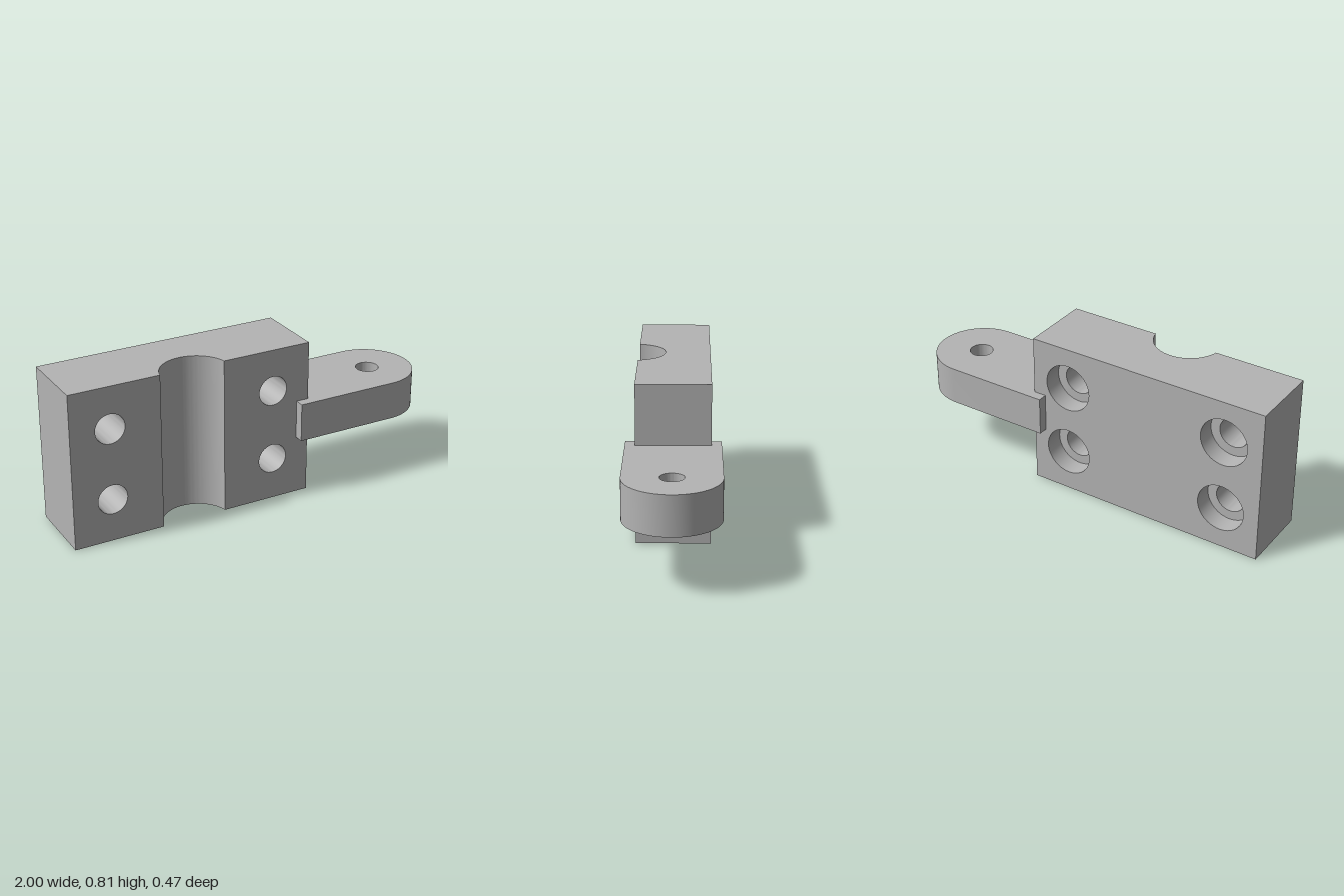
import * as THREE from 'three';
import { toCreasedNormals } from 'three/addons/utils/BufferGeometryUtils.js';

const LEFT = -1, RIGHT = 0.285, HEIGHT = 0.813, HALF = 0.187;
const GROOVE = { x: -0.36, z: 0.218, r: 0.173 };
const BORE = 0.077, COUNTERBORE = 0.125, SHELF_Z = -0.087;
const HOLE_X = [-0.795, 0.083], HOLE_Y = [0.222, 0.595];
const CREASE = Math.PI / 6, SEGMENTS = 48;

const grooveAngle = Math.asin((GROOVE.z - HALF) / GROOVE.r);
const grooveHalf = GROOVE.r * Math.cos(grooveAngle);

// Rectangular face from x0 to x1 with round holes
function drilledFace(x0, x1, holeXs, radius) {
  const s = new THREE.Shape();
  s.moveTo(x0, 0).lineTo(x1, 0).lineTo(x1, HEIGHT).lineTo(x0, HEIGHT).closePath();
  for (const x of holeXs) for (const y of HOLE_Y) {
    s.holes.push(new THREE.Path().absarc(x, y, radius, 0, Math.PI * 2, true));
  }
  return new THREE.ShapeGeometry(s, SEGMENTS / 2);
}

// Upright extrusion of a plan drawn in x and -z
function upright(shape, height, curveSegments) {
  const g = new THREE.ExtrudeGeometry(shape, { depth: height, bevelEnabled: false, curveSegments });
  return g.rotateX(-Math.PI / 2);
}

// Block ends, caps and groove, leaving the front and back open for the drilled faces
function blockShell() {
  const s = new THREE.Shape();
  s.moveTo(LEFT, -HALF);
  s.lineTo(GROOVE.x - grooveHalf, -HALF);
  s.absarc(GROOVE.x, -GROOVE.z, GROOVE.r, Math.PI - grooveAngle, grooveAngle, true);
  s.lineTo(RIGHT, -HALF);
  s.lineTo(RIGHT, HALF);
  s.lineTo(LEFT, HALF);
  s.closePath();
  const p = upright(s, HEIGHT, 32).getAttribute('position');
  const kept = [];
  for (let i = 0; i < p.count; i += 3) {
    const zs = [p.getZ(i), p.getZ(i + 1), p.getZ(i + 2)];
    const open = [HALF, -HALF].some((h) => zs.every((z) => Math.abs(z - h) < 1e-4));
    if (!open) for (let k = i; k < i + 3; k++) kept.push(p.getX(k), p.getY(k), p.getZ(k));
  }
  const g = new THREE.BufferGeometry();
  g.setAttribute('position', new THREE.Float32BufferAttribute(kept, 3));
  return toCreasedNormals(g, CREASE);
}

// Stepped screw hole lining, facing inwards
function boreLining() {
  const profile = [
    [BORE, HALF], [BORE, SHELF_Z], [COUNTERBORE, SHELF_Z], [COUNTERBORE, -HALF],
  ].map(([r, y]) => new THREE.Vector2(r, y));
  return toCreasedNormals(new THREE.LatheGeometry(profile, SEGMENTS).rotateX(Math.PI / 2), CREASE);
}

// Round-ended lug with a vertical pin hole
function lugGeometry() {
  const r = 0.237, cx = 1 - r;
  const s = new THREE.Shape();
  s.moveTo(0.22, -r);
  s.lineTo(cx, -r);
  s.absarc(cx, 0, r, -Math.PI / 2, Math.PI / 2, false);
  s.lineTo(0.22, r);
  s.closePath();
  s.holes.push(new THREE.Path().absarc(cx, 0, 0.06, 0, Math.PI * 2, true));
  return toCreasedNormals(upright(s, 0.2, 32), CREASE);
}

export function createModel() {
  const metal = new THREE.MeshStandardMaterial({ color: 0xb4b4b4 });
  metal.name = 'grey metal';
  const model = new THREE.Group();
  model.name = 'mountingBracket';
  const block = new THREE.Group();
  block.name = 'clampBlock';
  model.add(block);

  const add = (parent, name, geometry, x = 0, y = 0, z = 0) => {
    const mesh = new THREE.Mesh(geometry, metal);
    mesh.name = name;
    mesh.position.set(x, y, z);
    parent.add(mesh);
    return mesh;
  };

  add(block, 'blockShell', blockShell());

  // Front faces either side of the groove
  add(block, 'frontFaceRight', drilledFace(LEFT, GROOVE.x - grooveHalf, [HOLE_X[0]], BORE), 0, 0, HALF);
  add(block, 'frontFaceLeft', drilledFace(GROOVE.x + grooveHalf, RIGHT, [HOLE_X[1]], BORE), 0, 0, HALF);

  // Back face, drawn mirrored and turned around
  const back = drilledFace(-RIGHT, -LEFT, HOLE_X.map((x) => -x), COUNTERBORE).rotateY(Math.PI);
  add(block, 'backFace', back, 0, 0, -HALF);

  // Four counterbored screw holes
  const lining = boreLining();
  for (const x of HOLE_X) for (const y of HOLE_Y) add(block, 'screwHole', lining, x, y, 0);

  add(model, 'lug', lugGeometry(), 0, 0.308, 0);
  return model;
}
